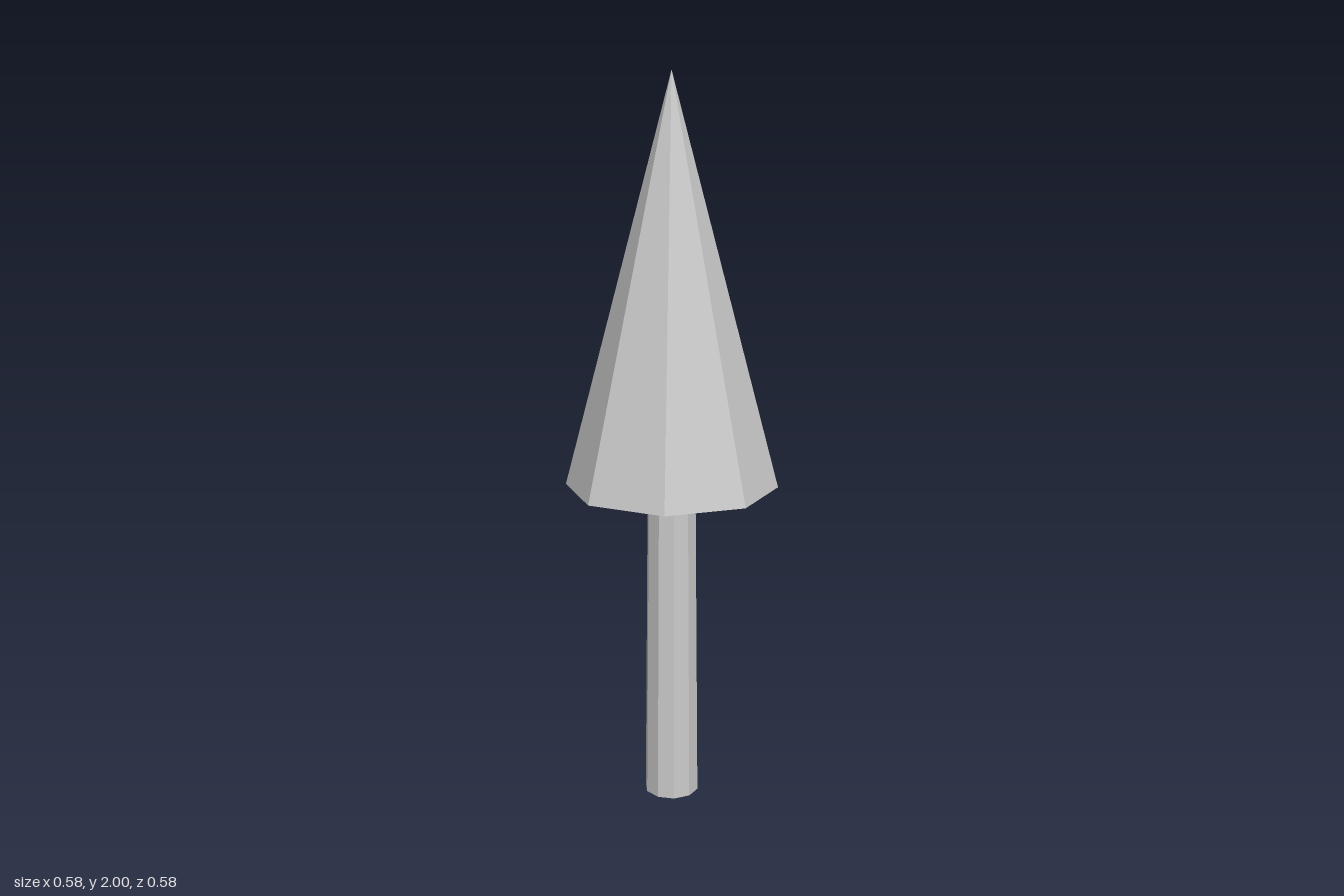
import * as THREE from 'three';

export function createModel() {
  const group = new THREE.Group();
  const foliageBase = 0.9, height = 2;

  // Slightly tapered ten-sided trunk, a hollow tube open at the bottom
  const trunk = new THREE.Mesh(
    new THREE.CylinderGeometry(0.067, 0.076, foliageBase, 10, 1, true),
    new THREE.MeshStandardMaterial({ color: 0xcccccc, flatShading: true, side: THREE.DoubleSide })
  );
  trunk.name = 'trunk';
  trunk.rotation.y = Math.PI / 2; // corners on the x axis
  trunk.position.y = foliageBase / 2;
  group.add(trunk);

  // Eight-sided cone of foliage with a closed underside
  const foliage = new THREE.Mesh(
    new THREE.ConeGeometry(0.29, height - foliageBase, 8),
    new THREE.MeshStandardMaterial({ color: 0xcccccc, flatShading: true })
  );
  foliage.name = 'foliage';
  foliage.position.y = (foliageBase + height) / 2;
  group.add(foliage);

  return group;
}
